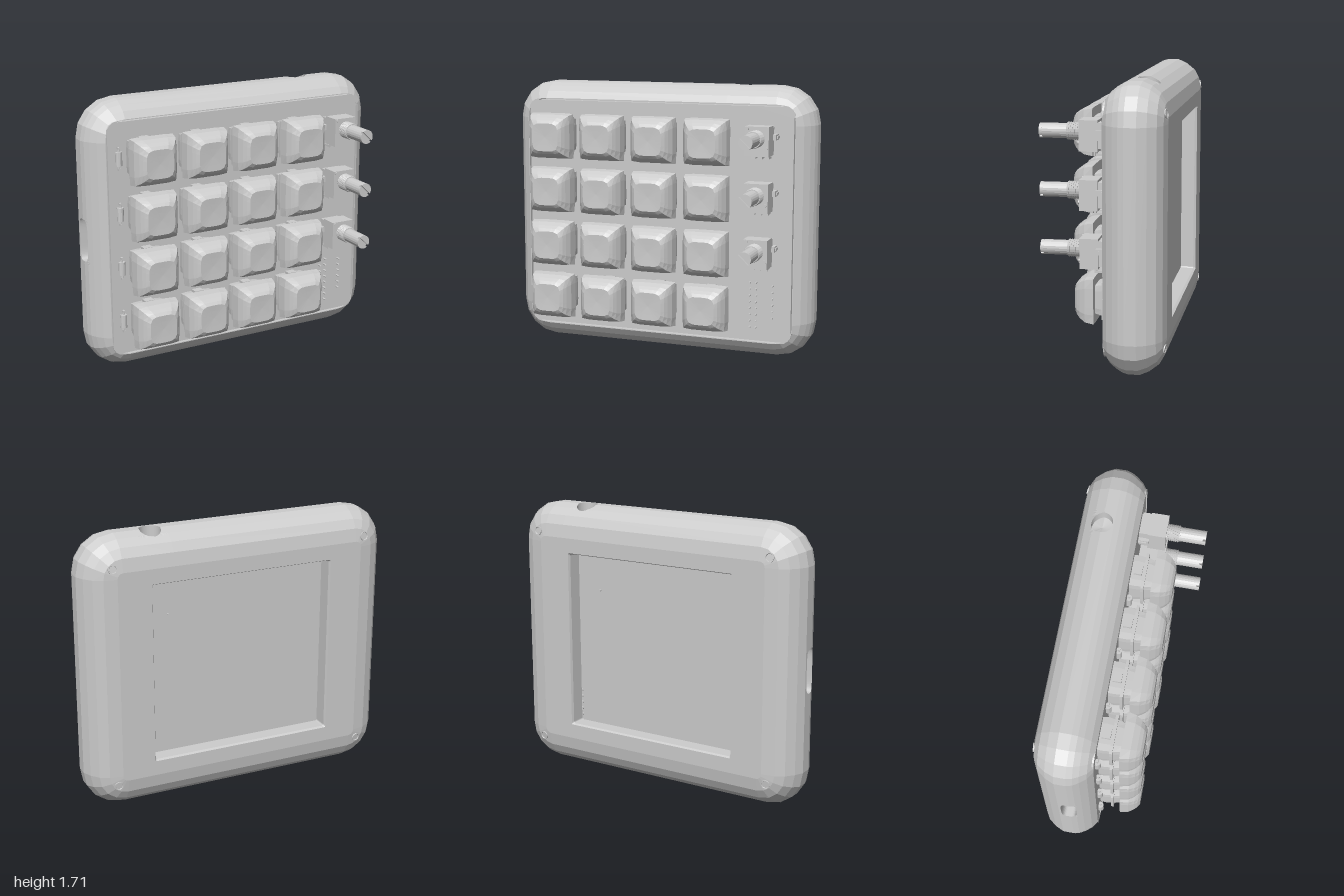
import * as THREE from 'three';

const mat = new THREE.MeshStandardMaterial({ color: 0xcccccc, flatShading: true, side: THREE.DoubleSide });
const CY = 0.855; // height of the pad's centre
const V = (x, y, z) => new THREE.Vector3(x, y, z);

function add(parent, name, geo, x = 0, y = 0, z = 0) {
  const m = new THREE.Mesh(geo, mat);
  m.name = name;
  m.position.set(x, y, z);
  parent.add(m);
  return m;
}
const box = (w, h, d) => new THREE.BoxGeometry(w, h, d);
// cylinder running along z
const rod = (r, len, n = 20) => new THREE.CylinderGeometry(r, r, len, n).rotateX(Math.PI / 2);

// skin closed loops (counter-clockwise seen from +z, ordered front to back)
function loft(loops, skip = () => false) {
  const pts = [];
  for (let i = 0; i < loops.length - 1; i++) {
    const n = loops[i].length;
    for (let j = 0; j < n; j++) {
      if (skip(i, j)) continue;
      const k = (j + 1) % n;
      const [a, b, c, d] = [loops[i][j], loops[i][k], loops[i + 1][k], loops[i + 1][j]];
      pts.push(a, d, c, a, c, b);
    }
  }
  const g = new THREE.BufferGeometry().setFromPoints(pts);
  g.computeVertexNormals();
  return g;
}

// rounded rectangle loop, with extra points where the port patches begin and end
const N = 4, JACK = [0.63, 0.45], SLOT = [1.0, 0.7];
function outline(hw, hh, r, z) {
  const out = [];
  const clamp = (v, m) => Math.max(-m, Math.min(m, v));
  [[1, 1], [-1, 1], [-1, -1], [1, -1]].forEach(([sx, sy], c) => {
    for (let i = 0; i <= N; i++) {
      const a = (c + i / N) * Math.PI / 2;
      out.push(V(sx * (hw - r) + r * Math.cos(a), CY + sy * (hh - r) + r * Math.sin(a), z));
    }
    if (c === 0) JACK.forEach(x => out.push(V(clamp(x, hw - r), CY + hh, z)));
    if (c === 1) SLOT.forEach(y => out.push(V(-hw, CY + clamp(y - CY, hh - r), z)));
  });
  return out;
}

// rounded edge of the case: [z, inset]
const PROFILE = [[-0.02, 0.105], [-0.05, 0.062], [-0.09, 0.03], [-0.125, 0.01], [-0.16, 0], [-0.23, 0],
  [-0.285, 0.025], [-0.335, 0.065], [-0.365, 0.12], [-0.38, 0.2]];
function inset(z) {
  for (let i = 1; i < PROFILE.length; i++) {
    const [z0, d0] = PROFILE[i - 1], [z1, d1] = PROFILE[i];
    if (z >= z1) return d0 + (d1 - d0) * (z - z0) / (z1 - z0);
  }
  return 0.2;
}

// piece of the case wall with a port cut through it, and the port's inner walls
function portPatch(map, [a0, a1, b0, b1], [ca, cb, ra, rb], power, inward) {
  const M = 96, loops = [];
  const ring = t => Array.from({ length: M }, (_, i) => {
    const th = (i / M) * Math.PI * 2, c = Math.cos(th), s = Math.sin(th);
    const k = Math.pow(Math.abs(c) ** power + Math.abs(s) ** power, -1 / power);
    const q = 1 / Math.max(Math.abs(c), Math.abs(s));
    const ha = (a1 - a0) / 2, hb = (b1 - b0) / 2;
    const A = THREE.MathUtils.lerp(ca + ra * c * k, (a0 + a1) / 2 + ha * c * q, t);
    const B = THREE.MathUtils.lerp(cb + rb * s * k, (b0 + b1) / 2 + hb * s * q, t);
    return map(A, B);
  });
  for (const t of [1, 0.66, 0.33, 0]) loops.push(ring(t));
  const deep = loops[3].map(p => p.clone().add(inward));
  const mid = deep.reduce((s, p) => s.add(p), V(0, 0, 0)).divideScalar(M);
  loops.push(deep, deep.map(() => mid));
  return loft(loops);
}

function buildCase(g) {
  const loops = [outline(0.89, 0.745, 0.075, -0.07), outline(0.89, 0.745, 0.075, -0.02)];
  PROFILE.forEach(([z, d]) => loops.push(outline(1 - d, CY - d, 0.235 - d, z)));
  // rear window with a softened edge, then the inside of the hollow shell
  loops.push(outline(0.59, 0.563, 0.01, -0.38), outline(0.583, 0.556, 0.01, -0.365), outline(0.58, 0.553, 0.01, -0.28),
    outline(0.9, 0.755, 0.06, -0.28), outline(0.9, 0.755, 0.06, -0.07));
  const jackCol = N + 1, slotCol = 2 * N + 4;
  add(g, 'case', loft(loops, (i, j) =>
    (j === jackCol && i >= 6 && i < 9) || (j === slotCol && i >= 4 && i < 7)));
  add(g, 'powerPort', portPatch((x, z) => V(x, 2 * CY - inset(z), z),
    [0.45, 0.63, -0.335, -0.16], [0.54, -0.232, 0.065, 0.065], 2, V(0, -0.065, 0)));
  add(g, 'cableSlot', portPatch((y, z) => V(-1 + inset(z), y, z),
    [0.7, 1.0, -0.23, -0.09], [0.85, -0.17, 0.135, 0.047], 4, V(0.08, 0, 0)));
  // screws with a raised rim, tilted to sit on the rear corners
  const screw = new THREE.LatheGeometry([[0, 0.001], [0.021, 0.001], [0.023, 0.005], [0.028, 0.005], [0.028, -0.02]]
    .map(p => new THREE.Vector2(...p)), 18).rotateX(-Math.PI / 2);
  for (const sx of [-1, 1]) for (const sy of [-1, 1]) {
    add(g, 'rearScrew', screw, sx * 0.825, CY + sy * 0.682, -0.3715)
      .quaternion.setFromUnitVectors(V(0, 0, -1), V(sx * 0.14, sy * 0.14, -1).normalize());
  }
}

// squarish section for key caps
function section(z, h, power) {
  return Array.from({ length: 24 }, (_, i) => {
    const a = (i / 24) * Math.PI * 2, c = Math.cos(a), s = Math.sin(a);
    const k = h * Math.pow(Math.abs(c) ** power + Math.abs(s) ** power, -1 / power);
    return V(c * k, s * k, z);
  });
}
const capGeo = loft([section(0.231, 0, 4), section(0.233, 0.05, 4), section(0.235, 0.088, 4.5), section(0.221, 0.106, 6),
  section(0.2, 0.121, 10), section(0.165, 0.138, 16), section(0.11, 0.1445, 30), section(0.11, 0, 30)]);
const housingGeo = loft([section(0.115, 0.09, 12), section(0.065, 0.1, 20), section(0.065, 0.12, 30), section(0.047, 0.12, 30),
  section(0.047, 0.1, 20), section(0.01, 0.105, 20), section(-0.05, 0.1, 20)]);

function buildKey(x, y) {
  const k = new THREE.Group();
  k.name = 'key';
  k.position.set(x, y, 0);
  add(k, 'keyCap', capGeo);
  add(k, 'switchHousing', housingGeo);
  // side clips of the switch
  for (const s of [-1, 1]) add(k, 'switchClip', box(0.06, 0.02, 0.05), 0, s * 0.11, 0.015);
  // small diode with its leads
  add(k, 'diode', new THREE.CylinderGeometry(0.021, 0.021, 0.085, 12), -0.156, -0.005, -0.015);
  add(k, 'diodeLead', new THREE.CylinderGeometry(0.006, 0.006, 0.14, 8), -0.156, -0.005, -0.012);
  for (const s of [-1, 1]) add(k, 'diodeLeg', box(0.012, 0.012, 0.05), -0.156, -0.005 + s * 0.065, -0.03);
  return k;
}

function buildKnob(x, y) {
  const k = new THREE.Group();
  k.name = 'rotaryControl';
  k.position.set(x, y, 0);
  add(k, 'controlBody', box(0.152, 0.18, 0.11), 0, -0.018, 0.085);
  add(k, 'controlBase', box(0.13, 0.15, 0.08), 0, -0.018, -0.005);
  add(k, 'threadCore', rod(0.045, 0.085), 0, 0, 0.18);
  for (let i = 0; i < 6; i++) add(k, 'thread', new THREE.TorusGeometry(0.046, 0.007, 6, 20), 0, 0, 0.147 + i * 0.013);
  // shaft with a slit across its end
  add(k, 'shaft', rod(0.044, 0.145), 0, 0, 0.29);
  const half = new THREE.Shape();
  const a = Math.asin(0.14);
  half.absarc(0, 0, 0.044, a, Math.PI - a, false);
  const tipGeo = new THREE.ExtrudeGeometry(half, { depth: 0.018, bevelEnabled: false, curveSegments: 10 });
  for (const s of [-1, 1]) {
    add(k, 'shaftTip', tipGeo, 0, 0, 0.3624).rotation.z = -0.75 + (s < 0 ? Math.PI : 0);
    add(k, 'mountingEar', box(0.022, 0.035, 0.07), s * 0.084, 0, 0.005);
    add(k, 'mountingEarTip', box(0.012, 0.015, 0.05), s * 0.097, 0, 0.0);
    add(k, 'rivet', rod(0.011, 0.01, 10), s * 0.058, s * -0.06, 0.142);
  }
  for (let i = -1; i <= 1; i++) {
    add(k, 'terminal', box(0.028, 0.034, 0.012), i * 0.042, -0.117, 0.05);
    add(k, 'terminalLeg', box(0.016, 0.012, 0.1), i * 0.042, -0.128, 0.0);
  }
  return k;
}

export function createModel() {
  const g = new THREE.Group();
  buildCase(g);

  // panel that fills the front opening, and the circuit board behind the rear window
  const panel = (hw, hh, r, depth) => new THREE.ExtrudeGeometry(
    new THREE.Shape(outline(hw, hh, r, 0).map(p => new THREE.Vector2(p.x, p.y))), { depth, bevelEnabled: false });
  add(g, 'frontPanel', panel(0.882, 0.737, 0.068, 0.04), 0, 0, -0.065);
  add(g, 'rearBoard', panel(0.88, 0.736, 0.05, 0.03), 0, 0, -0.25);

  // four by four keys
  for (let r = 0; r < 4; r++) for (let c = 0; c < 4; c++) g.add(buildKey(-0.66 + c * 0.345, 0.342 + r * 0.345));

  // three rotary controls
  for (let i = 0; i < 3; i++) g.add(buildKnob(0.692, 0.72 + i * 0.345));

  // header pins in the lower corner, and their ends behind the rear board
  const pin = rod(0.006, 0.09, 8), stub = rod(0.008, 0.02, 8);
  for (let i = 0; i < 8; i++) {
    const y = 0.205 + i * 0.041;
    for (const x of [0.62, 0.66]) add(g, 'headerPin', pin, x, y, -0.04);
    add(g, 'headerPinEnd', stub, 0.595, y, -0.25);
    if (i > 1) add(g, 'headerPin', pin, 0.765, y - 0.015, -0.04);
  }

  // rows of solder joints along the upper edge of the rear board, and a single one below
  for (let c = 0; c < 4; c++) for (let i = 0; i < 4; i++) {
    add(g, 'solderJoint', stub, -0.46 + c * 0.328 + (i - 1.5) * 0.042, 1.415, -0.25);
  }
  add(g, 'solderJoint', stub, 0.44, 1.175, -0.25);
  return g;
}
